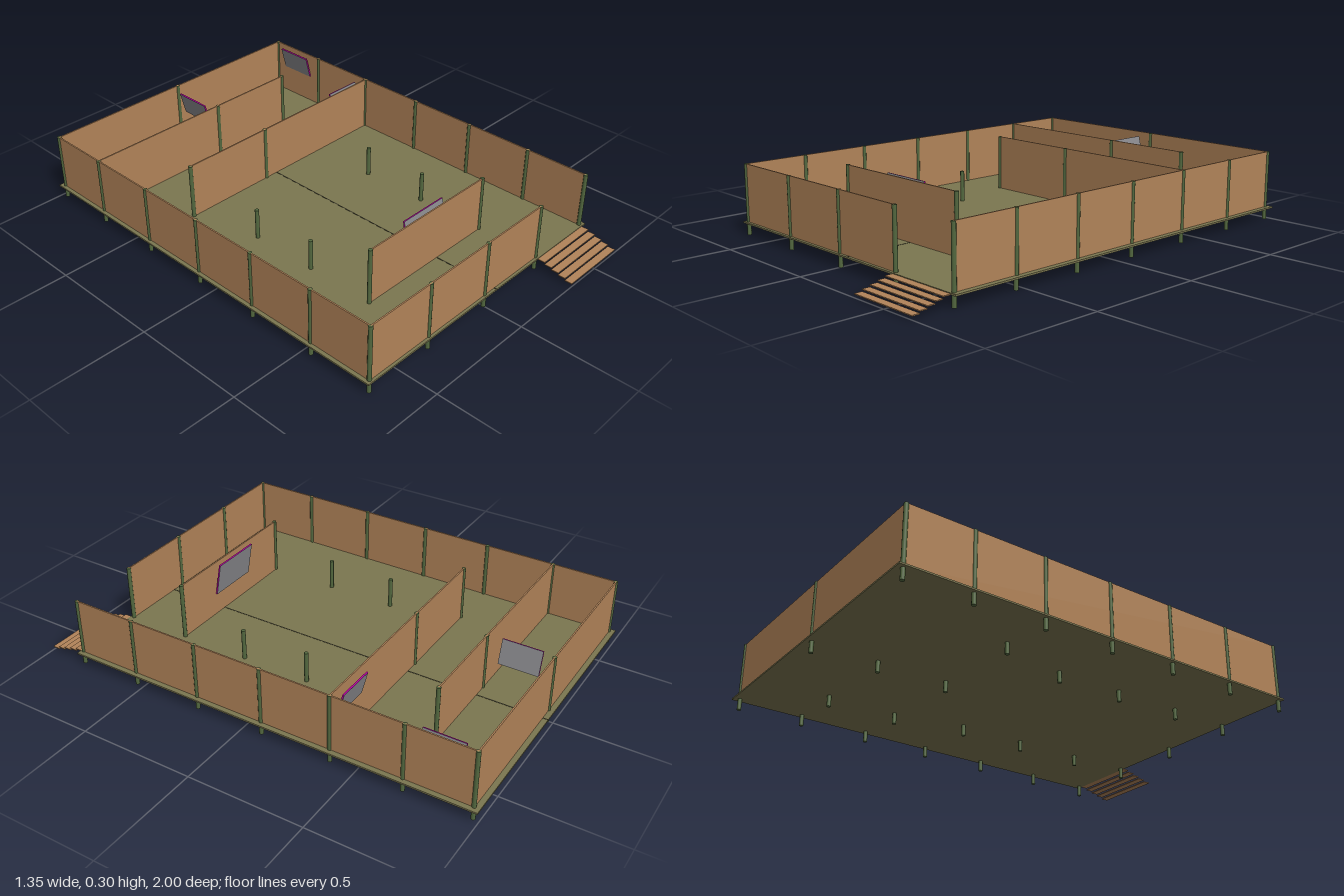
import * as THREE from 'three';

const mat = (name, color) => {
  const m = new THREE.MeshStandardMaterial({ color });
  m.name = name;
  return m;
};

export function createModel() {
  const plank = mat('wall tan', 0xb28459);
  const floor = mat('deck olive', 0x7b7650);
  const green = mat('post green', 0x53683f);
  const grey = mat('screen grey', 0x8a8a8e);
  const magenta = mat('frame magenta', 0xb0009a);
  const dark = mat('seam dark', 0x3a3826);

  const group = new THREE.Group();
  group.name = 'walledDeck';
  const DECK = 0.055, TOP = 0.3;

  function box(name, material, x0, x1, y0, y1, z0, z1) {
    const mesh = new THREE.Mesh(new THREE.BoxGeometry(x1 - x0, y1 - y0, z1 - z0), material);
    mesh.position.set((x0 + x1) / 2, (y0 + y1) / 2, (z0 + z1) / 2);
    mesh.name = name;
    group.add(mesh);
  }

  // Deck with one long seam
  box('deck', floor, -0.675, 0.675, 0.048, DECK, -1, 0.835);
  box('deckSeam', dark, 0.058, 0.063, DECK, DECK + 0.0008, -1, 0.835);

  // Walls: runs along x, then runs along z
  const T = 0.003;
  const xWalls = [
    ['frontWall', 0.82, -0.655, 0.335, TOP],
    ['entranceScreenWall', 0.535, -0.34, 0.335, 0.303],
    ['middleWall', -0.388, -0.42, 0.65, TOP],
    ['rearInnerWall', -0.695, -0.655, 0.4, TOP],
    ['backWall', -0.975, -0.655, 0.65, TOP],
  ];
  for (const [name, z, x0, x1, top] of xWalls) box(name, plank, x0, x1, DECK, top, z - T, z + T);
  box('leftWall', plank, 0.65 - T, 0.65 + T, DECK, TOP, -0.975, 0.82);
  box('rightWall', plank, -0.655 - T, -0.655 + T, DECK, TOP, -0.975, 0.82);

  // Round posts, each passing through the deck to the ground: z, then [x, top]
  const rows = [
    [0.82, [[-0.335, TOP], [0, TOP], [0.335, TOP]]],
    [0.535, [[-0.34, 0.304], [0.335, 0.304]]],
    [0.225, [[-0.34, 0.19], [0.335, 0.19]]],
    [-0.08, [[-0.34, 0.19], [0.335, 0.19]]],
    [-0.388, [[-0.42, TOP], [0, TOP], [0.4, 0.05]]],
    [-0.695, [[0, TOP], [0.4, TOP]]],
    [-0.975, [[0, TOP]]],
  ];
  for (const [z, inner] of rows) {
    for (const [x, top] of [[-0.655, TOP], ...inner, [0.65, TOP]]) {
      const post = new THREE.Mesh(new THREE.CylinderGeometry(0.009, 0.009, top, 10), green);
      post.position.set(x, top / 2, z);
      post.name = 'post';
      group.add(post);
    }
  }

  // Entrance ramp of overlapping flat slats
  const N = 5, z0 = 0.835, run = (1 - z0) / N;
  for (let i = 0; i < N; i++) {
    const y = 0.05 - i * 0.009;
    box('rampSlat', plank, 0.335, 0.65, y - 0.002, y + 0.002, z0 + i * run, z0 + (i + 1) * run);
  }

  // Tilted screens: grey faces, magenta rims; the top edge leans out from the wall
  function screen(x, z, turn, w, h, top) {
    const geo = new THREE.BoxGeometry(w, h, 0.007);
    const mesh = new THREE.Mesh(geo, [magenta, magenta, magenta, magenta, grey, grey]);
    mesh.rotation.x = Math.asin(0.026 / h);
    mesh.name = 'screenPanel';
    const mount = new THREE.Group();
    mount.name = 'tiltedScreen';
    mount.position.set(x, top - h / 2, z);
    mount.rotation.y = turn;
    mount.add(mesh);
    group.add(mount);
  }
  screen(0, 0.516, Math.PI, 0.23, 0.15, 0.301);
  screen(0.525, -0.408, Math.PI, 0.17, 0.105, 0.29);
  screen(0.634, -0.835, -Math.PI / 2, 0.17, 0.105, 0.29);
  screen(-0.016, -0.835, -Math.PI / 2, 0.17, 0.105, 0.29);

  return group;
}
